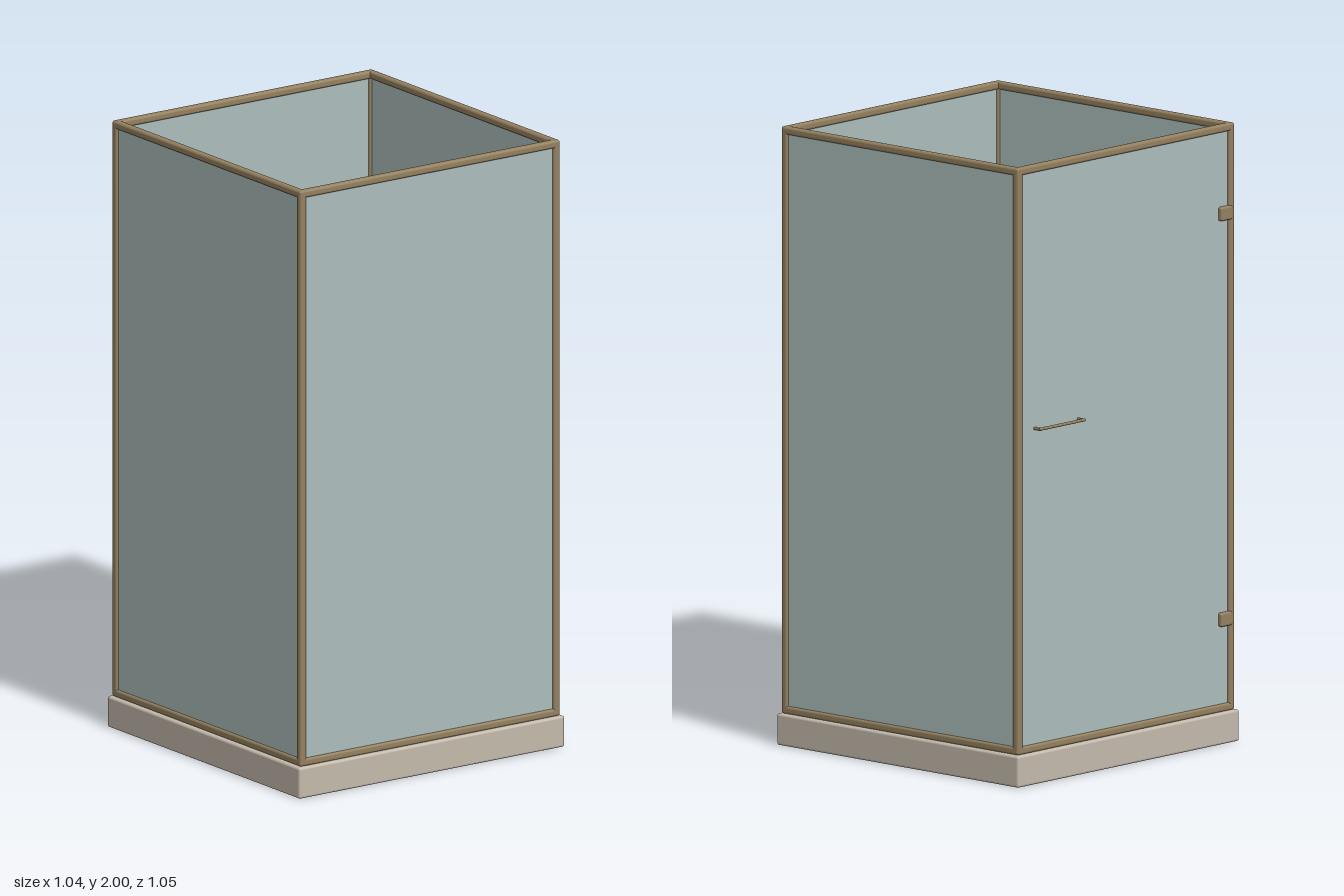
import * as THREE from 'three';
import { RoundedBoxGeometry } from 'three/addons/geometries/RoundedBoxGeometry.js';

const material = (name, color) => {
  const m = new THREE.MeshStandardMaterial({ color });
  m.name = name;
  return m;
};

export function createModel() {
  const stone = material('stone tray', 0xc4baac);
  const bronze = material('bronze metal', 0x94805f);
  const glass = material('glass', 0xacbebb);
  const dark = material('dark drain', 0x2c2e2e);

  const model = new THREE.Group();
  model.name = 'showerCabin';

  const add = (name, geometry, mat, x, y, z) => {
    const mesh = new THREE.Mesh(geometry, mat);
    mesh.name = name;
    mesh.position.set(x, y, z);
    model.add(mesh);
    return mesh;
  };
  const rounded = (w, h, d, r) => new RoundedBoxGeometry(w, h, d, 3, r);

  // Cabin dimensions
  const X = 0.497, BACK = -0.494, FRONT = 0.501;
  const MID = (BACK + FRONT) / 2, DEPTH = FRONT - BACK;
  const FLOOR = 0.102, TOP = 2, BAR = 0.025, R = 0.008;
  const LOW = FLOOR + BAR / 2, HIGH = TOP - BAR / 2;

  // Shower tray
  add('tray', rounded(1.04, FLOOR, 1.04, 0.008), stone, 0, FLOOR / 2, 0.003);

  // Corner posts
  for (const x of [-X, X])
    for (const z of [BACK, FRONT])
      add('cornerPost', rounded(BAR, TOP - FLOOR, BAR, R), bronze, x, (TOP + FLOOR) / 2, z);

  // Top and bottom rails
  for (const y of [LOW, HIGH]) {
    for (const z of [BACK, FRONT])
      add('crossRail', rounded(X * 2 + BAR, BAR, BAR, R), bronze, 0, y, z);
    for (const x of [-X, X])
      add('sideRail', rounded(BAR, BAR, DEPTH + BAR, R), bronze, x, y, MID);
  }

  // Glass walls and door
  const glassHeight = HIGH - LOW, glassY = (HIGH + LOW) / 2;
  for (const x of [-X, X])
    add('sideGlass', new THREE.BoxGeometry(0.008, glassHeight, DEPTH), glass, x, glassY, MID);
  add('frontGlass', new THREE.BoxGeometry(X * 2, glassHeight, 0.008), glass, 0, glassY, FRONT);
  add('doorGlass', new THREE.BoxGeometry(X * 2, glassHeight, 0.008), glass, 0, glassY, BACK);

  // Door hinges
  for (const y of [0.4, 1.712])
    add('hinge', rounded(0.055, 0.045, 0.036, 0.007), bronze, -0.468, y, BACK);

  // Door handle: a bar on two short stand-offs
  const handleY = 1.147, handleZ = -0.522;
  const bar = add('handleBar', new THREE.CylinderGeometry(0.005, 0.005, 0.215, 16), bronze, 0.321, handleY, handleZ);
  bar.rotation.z = Math.PI / 2;
  for (const x of [0.219, 0.423]) {
    const post = add('handlePost', new THREE.CylinderGeometry(0.005, 0.005, 0.026, 16), bronze, x, handleY, -0.509);
    post.rotation.x = Math.PI / 2;
  }

  // Floor drain: dark plate with pale slots
  add('drainPlate', new THREE.BoxGeometry(0.676, 0.004, 0.052), dark, 0, FLOOR + 0.002, 0.402);
  const slots = 20, pitch = 0.0338;
  for (let i = 0; i < slots; i++)
    add('drainSlot', new THREE.BoxGeometry(0.0165, 0.002, 0.042), glass,
      (i - (slots - 1) / 2) * pitch, FLOOR + 0.0045, 0.402);

  return model;
}
